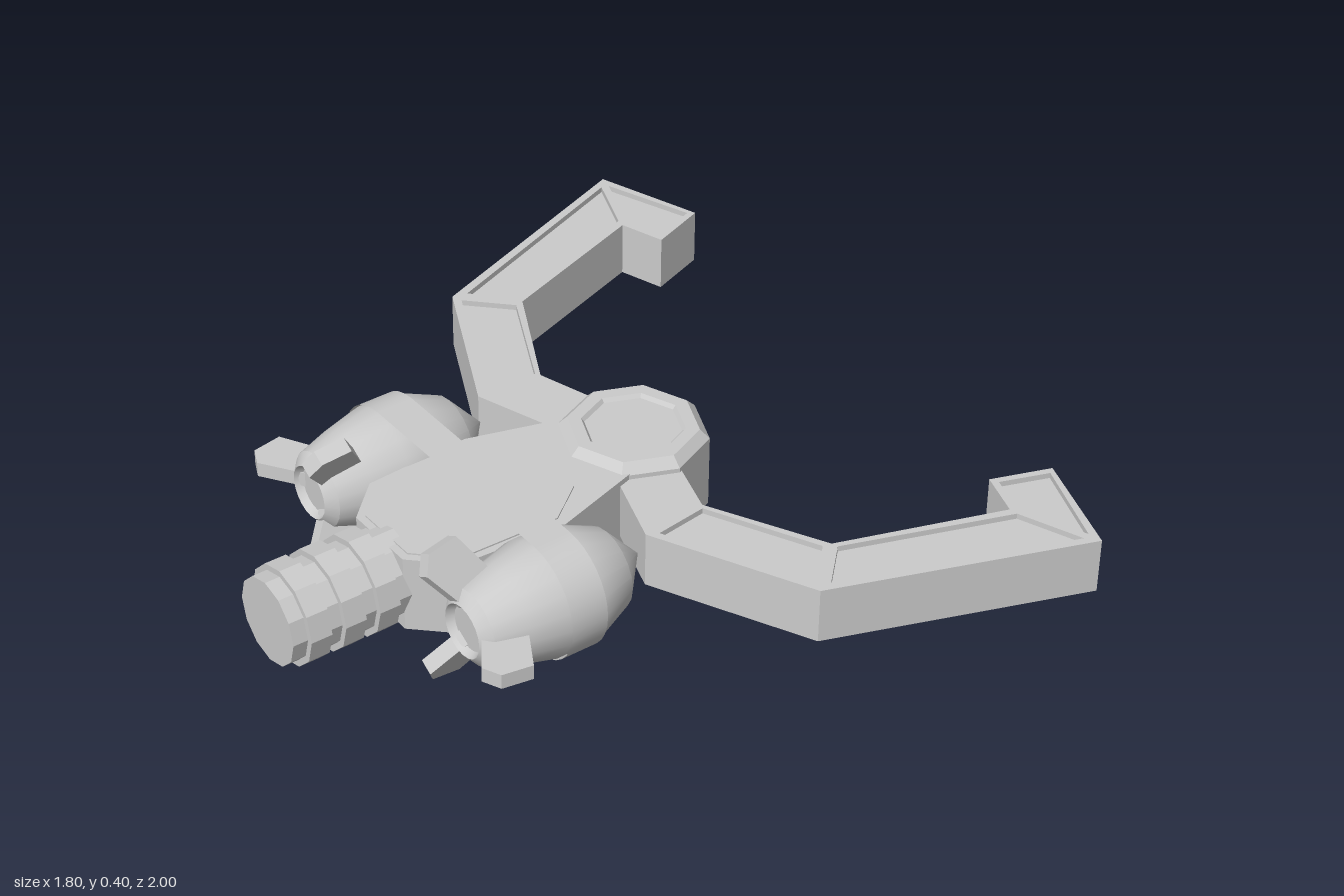
import * as THREE from 'three';
import { toCreasedNormals } from 'three/addons/utils/BufferGeometryUtils.js';

const smooth = new THREE.MeshStandardMaterial({ color: 0xcccccc });
const flat = new THREE.MeshStandardMaterial({ color: 0xcccccc, flatShading: true });
const thin = new THREE.MeshStandardMaterial({ color: 0xcccccc, side: THREE.DoubleSide });

const vectors = (pts) => pts.map(([a, b]) => new THREE.Vector2(a, b));

function mesh(name, geometry, material, parent) {
  const m = new THREE.Mesh(geometry, material);
  m.name = name;
  parent.add(m);
  return m;
}

// Horizontal slab from an (x, z) outline, between two heights
function slab(outline, y0, y1, holes = []) {
  const shape = new THREE.Shape(vectors(outline));
  for (const h of holes) shape.holes.push(new THREE.Path(vectors(h)));
  const g = new THREE.ExtrudeGeometry(shape, { depth: y1 - y0, bevelEnabled: false });
  return g.rotateX(Math.PI / 2).translate(0, y1, 0);
}

// Turned part along x from [x, radius] points, rear to front
function turnedX(profile, sides) {
  const g = new THREE.LatheGeometry(vectors(profile.map(([x, r]) => [r, x])), sides);
  return g.rotateZ(-Math.PI / 2);
}

const armOutline = [[0.015, 0.13], [-0.06, 0.35], [0.14, 0.76], [0.8, 1], [0.9, 0.715],
  [0.745, 0.66], [0.705, 0.78], [0.275, 0.635], [0.12, 0.335], [0.175, 0.16]];
const armPanels = [
  [[-0.03, 0.365], [0.112, 0.347], [0.252, 0.63], [0.15, 0.732]],
  [[0.18, 0.75], [0.28, 0.652], [0.708, 0.803], [0.772, 0.968]],
  [[0.792, 0.962], [0.722, 0.782], [0.757, 0.682], [0.882, 0.727]],
];

function addArm(root, side) {
  const arm = new THREE.Group();
  arm.name = side > 0 ? 'frontClawArm' : 'rearClawArm';
  const flip = (pts) => pts.map(([x, z]) => [x, z * side]);
  mesh('armBeam', slab(flip(armOutline), 0.115, 0.25), flat, arm);
  mesh('armPanelRim', slab(flip(armOutline), 0.25, 0.265, armPanels.map(flip)), flat, arm);
  root.add(arm);
}

function addPod(root, side) {
  const pod = new THREE.Group();
  pod.name = side > 0 ? 'frontPod' : 'rearPod';
  pod.position.set(0, 0.21, 0.33 * side);
  const profile = [[-0.56, 0], [-0.56, 0.06], [-0.58, 0.07], [-0.555, 0.1], [-0.47, 0.127],
    [-0.375, 0.15], [-0.275, 0.15], [-0.167, 0.105], [-0.075, 0]];
  mesh('podShell', toCreasedNormals(turnedX(profile, 20), 0.5), smooth, pod);
  // Three tail fins around the pod, the first pointing outward
  const fin = new THREE.ExtrudeGeometry(
    new THREE.Shape(vectors([[-0.56, 0.05], [-0.46, 0.08], [-0.475, 0.12], [-0.53, 0.217],
      [-0.61, 0.203], [-0.632, 0.155]])),
    { depth: 0.04, bevelEnabled: false }).translate(0, 0, -0.02);
  for (let i = 0; i < 3; i++) {
    mesh('tailFin', fin, flat, pod).rotation.x = side * Math.PI / 2 + i * Math.PI * 2 / 3;
  }
  root.add(pod);
}

// Thin band looped round both pods
function strapGeometry() {
  const r = 0.154, half = 0.33, x0 = -0.375, x1 = -0.275, n = 16;
  const pos = [], index = [];
  for (let e = 0; e < 2; e++) {
    for (let i = 0; i <= n; i++) {
      const a = Math.PI / 2 - Math.PI * (e + i / n);
      const y = 0.21 + r * Math.sin(a), z = (e ? -half : half) + r * Math.cos(a);
      pos.push(x0, y, z, x1, y, z);
    }
  }
  const count = pos.length / 6;
  for (let i = 0; i < count; i++) {
    const a = 2 * i, b = 2 * ((i + 1) % count);
    index.push(a, b, a + 1, a + 1, b, b + 1);
  }
  const g = new THREE.BufferGeometry();
  g.setAttribute('position', new THREE.Float32BufferAttribute(pos, 3));
  g.setIndex(index);
  g.computeVertexNormals();
  return g;
}

export function createModel() {
  const root = new THREE.Group();
  root.name = 'clawCraft';

  for (const side of [1, -1]) addArm(root, side);

  // Fuselage, pods, hub and engine share a centre line
  const body = new THREE.Group();
  body.name = 'body';
  body.position.z = 0.01;
  root.add(body);
  for (const side of [1, -1]) addPod(body, side);
  mesh('strap', strapGeometry(), thin, body);

  // Fuselage narrowing into the neck, with a shallow panel on top and bottom
  const half = [[-0.59, 0.1], [-0.49, 0.195], [-0.2, 0.212], [0.06, 0.135]];
  const mirrored = (pts) => [...pts, ...pts.map(([x, z]) => [x, -z]).reverse()];
  mesh('fuselage', slab(mirrored(half), 0.072, 0.28), flat, body);
  const panel = mirrored([[-0.57, 0.09], [-0.48, 0.178], [-0.205, 0.185], [-0.1, 0.105], [-0.065, 0.01]]);
  mesh('fuselagePanels', slab(panel, 0.068, 0.284), flat, body);

  // Eight-sided hub with bevelled rims and shallow recesses
  const hub = new THREE.LatheGeometry(vectors([[0, 0.065], [0.122, 0.065], [0.13, 0.055], [0.165, 0.055],
    [0.19, 0.08], [0.19, 0.277], [0.165, 0.302], [0.13, 0.302], [0.122, 0.292], [0, 0.292]]), 8);
  mesh('hub', hub, flat, body).position.x = 0.155;

  // Ribbed engine
  const ribs = [[-0.905, 0], [-0.905, 0.114]];
  for (const x of [-0.865, -0.77, -0.675]) {
    ribs.push([x, 0.114], [x, 0.13], [x + 0.057, 0.13], [x + 0.057, 0.114]);
  }
  ribs.push([-0.55, 0.114], [-0.55, 0]);
  mesh('engine', turnedX(ribs, 12), flat, body).position.y = 0.177;

  return root;
}
